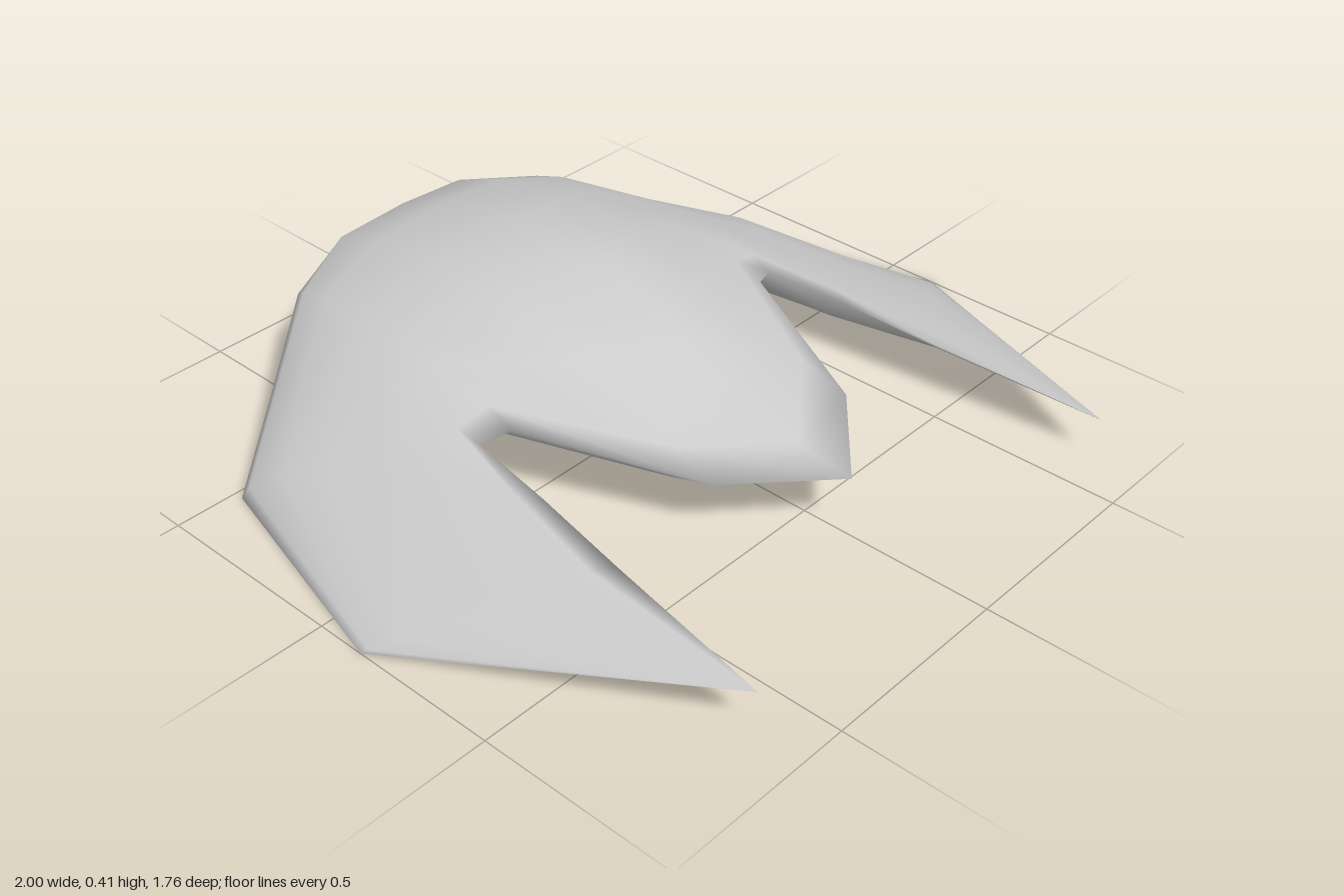
import * as THREE from 'three';

// Chord fractions (front edge to rear edge) shared by all cross-sections
const T = [0.1, 0.33, 0.49, 0.68, 0.85, 0.97];

// Cross-sections from the centre line out to the swept wing tip
const STATIONS = [
  { f: [0, 0.155, 0.625], r: [0, 0.22, -0.885],
    top: [0.175, 0.31, 0.41, 0.41, 0.365, 0.285], bottom: [0.11, 0.05, 0.02, 0.02, 0.075, 0.16] },
  { f: [0.235, 0.165, 0.425], r: [0.2, 0.22, -0.885],
    top: [0.205, 0.3, 0.365, 0.365, 0.33, 0.27], bottom: [0.12, 0.075, 0.06, 0.065, 0.1, 0.165] },
  { f: [0.43, 0.205, 0], r: [0.4, 0.22, -0.78],
    top: [0.235, 0.265, 0.27, 0.27, 0.265, 0.235], bottom: [0.17, 0.155, 0.15, 0.15, 0.165, 0.2] },
  { f: [0.5, 0.19, -0.03], r: [0.62, 0.11, -0.625],
    top: [0.21, 0.212, 0.203, 0.19, 0.165, 0.13], bottom: [0.13, 0.08, 0.065, 0.055, 0.055, 0.085] },
  { f: [0.53, 0.175, 0.2], r: [0.84, 0, -0.475],
    top: [0.18, 0.162, 0.142, 0.12, 0.09, 0.035], bottom: [0.1, 0.035, 0, 0, 0, 0] },
  { f: [0.565, 0.15, 0.45], r: [1, 0, 0.125],
    top: [0.145, 0.12, 0.095, 0.06, 0.03, 0.007], bottom: [0.11, 0.065, 0.035, 0.02, 0.008, 0] },
  { f: [0.62, 0.11, 0.88], r: [0.62, 0.11, 0.88],
    top: T.map(() => 0.11), bottom: T.map(() => 0.11) },
];

// Closed loop: front edge, over the top, rear edge, back underneath
function sectionLoop({ f, r, top, bottom }, side) {
  const at = (t, y) => [
    side * THREE.MathUtils.lerp(f[0], r[0], t), y, THREE.MathUtils.lerp(f[2], r[2], t),
  ];
  const upper = T.map((t, i) => at(t, top[i]));
  const lower = T.map((t, i) => at(t, bottom[i])).reverse();
  return [at(0, f[1]), ...upper, at(1, r[1]), ...lower];
}

// Smooth skin through the loops
function loft(loops) {
  const n = loops[0].length;
  const index = [];
  for (let i = 0; i < loops.length - 1; i++) {
    for (let j = 0; j < n; j++) {
      const a = i * n + j, c = i * n + (j + 1) % n;
      const b = a + n, d = c + n;
      index.push(a, b, c, b, d, c);
    }
  }
  const geometry = new THREE.BufferGeometry();
  geometry.setAttribute('position', new THREE.Float32BufferAttribute(loops.flat(2), 3));
  geometry.setIndex(index);
  geometry.computeVertexNormals();
  return geometry;
}

export function createModel() {
  const group = new THREE.Group();
  group.name = 'sweptWingCraft';

  // Hull and both forward-swept wings in one continuous shell
  const rightHalf = STATIONS.slice(1).reverse().map((s) => sectionLoop(s, -1));
  const leftHalf = STATIONS.map((s) => sectionLoop(s, 1));
  const shell = new THREE.Mesh(
    loft([...rightHalf, ...leftHalf]),
    new THREE.MeshStandardMaterial({ color: 0xcccccc }),
  );
  shell.name = 'hullAndWings';
  group.add(shell);
  return group;
}
